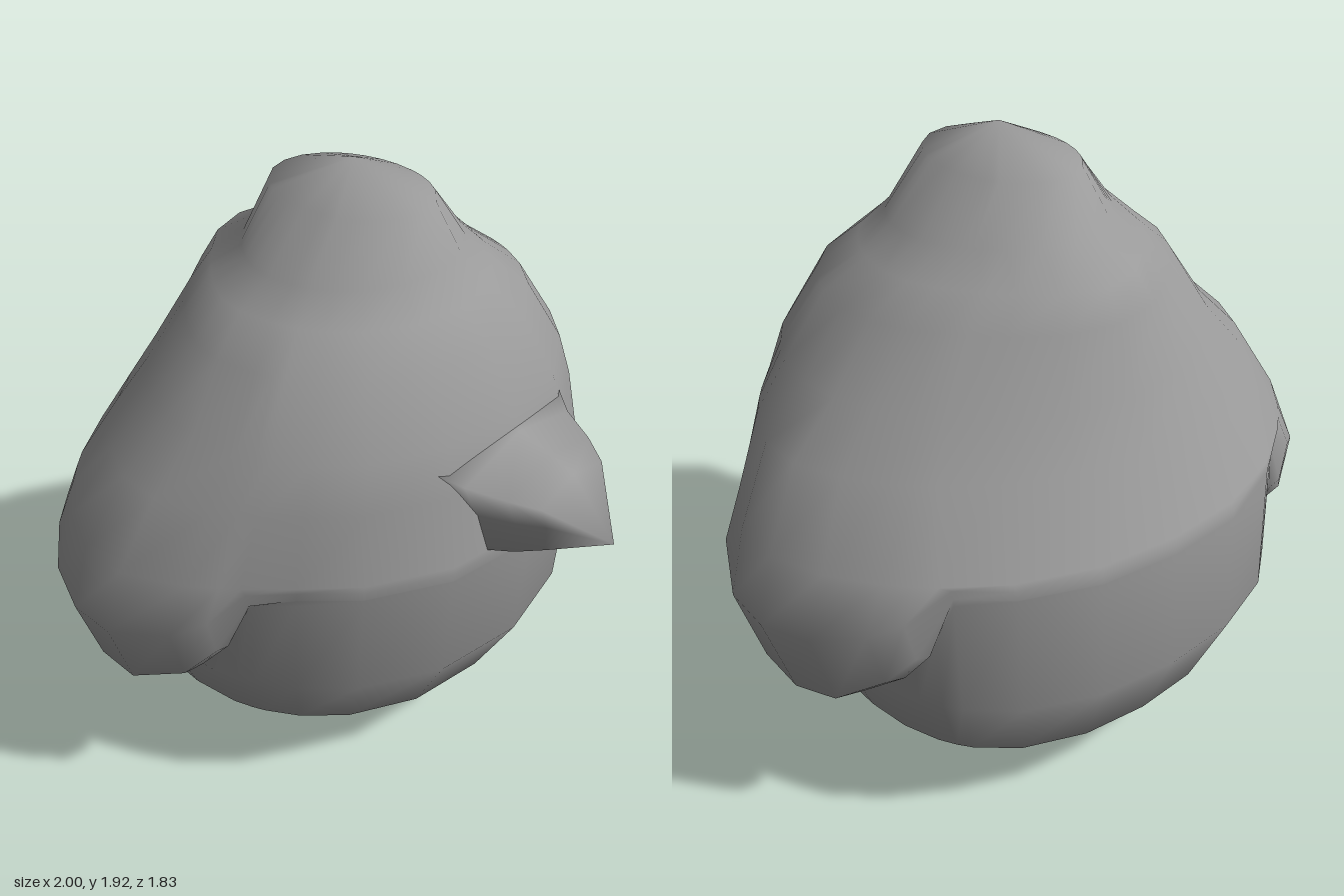
import * as THREE from 'three';

const material = new THREE.MeshStandardMaterial({ color: 0x9a9a9a });
const { lerp, degToRad } = THREE.MathUtils;

// Smooth skin over rings of equal point count, closed by a point at each end
function loft(name, start, rings, end) {
  const n = rings[0].length, index = [];
  const points = [start, ...rings.flat(), end];
  const last = points.length - 1, top = 1 + (rings.length - 1) * n;
  for (let i = 0; i < n; i++) {
    const j = (i + 1) % n;
    index.push(0, 1 + i, 1 + j, top + i, last, top + j);
    for (let r = 0; r < rings.length - 1; r++) {
      const a = 1 + r * n + i, b = 1 + r * n + j;
      index.push(a, a + n, b, b, a + n, b + n);
    }
  }
  const geometry = new THREE.BufferGeometry();
  geometry.setAttribute('position', new THREE.Float32BufferAttribute(points.flat(), 3));
  geometry.setIndex(index);
  geometry.computeVertexNormals();
  const mesh = new THREE.Mesh(geometry, material);
  mesh.name = name;
  return mesh;
}

// Plump torso: [y, half width, back z, front z, fullness of the rear corners]
const torso = [
  [0.08, 0.43, -0.62, 0.22, 0.04],
  [0.26, 0.67, -0.81, 0.47, 0.06],
  [0.52, 0.78, -0.915, 0.61, 0.06],
  [0.93, 0.79, -0.885, 0.64, 0.06],
  [1.27, 0.7, -0.69, 0.57, 0],
  [1.5, 0.55, -0.6, 0.45, -0.08],
  [1.59, 0.43, -0.555, 0.35, -0.1],
  [1.67, 0.34, -0.41, 0.26, -0.05],
  [1.83, 0.2, -0.34, 0.2, 0],
];

// Point on the torso at a height and bearing, pushed sideways by extra
function torsoPoint(y, { angle, side }, extra) {
  const i = Math.max(1, torso.findIndex((row) => row[0] >= y));
  const low = torso[i - 1], high = torso[i];
  const t = (y - low[0]) / (high[0] - low[0]);
  const [, w, back, front, k] = low.map((v, c) => lerp(v, high[c], t));
  const s = Math.sin(angle), c = Math.cos(angle);
  const full = s < 0 ? 1 + k * Math.sin(2 * angle) ** 2 : 1;
  const x = w * c * full + extra;
  return [side * x, y, (front + back) / 2 + ((front - back) / 2) * s * full];
}

// Bearings from back to front, closer together along the wing
const bearings = [-72, -55, -43, -39, -34, -24, -12, 0, 14, 20, 24, 34, 48, 68];

function column(degrees, side) {
  const angle = degToRad(degrees);
  const u = (-0.135 + 0.77 * Math.sin(angle) + 0.24) / 0.42;
  return {
    angle, side,
    lobe: Math.sqrt(Math.max(0, 1 - u * u)),
    shoulder: Math.abs(u) < 1.5 ? (1 + Math.cos((Math.PI * u) / 1.5)) / 2 : 0,
  };
}

// Torso with shoulders that flow into wing lobes and fold under at their rims
function makeBody() {
  const columns = [
    column(-90, 1), ...bearings.map((d) => column(d, 1)),
    column(90, 1), ...[...bearings].reverse().map((d) => column(d, -1)),
  ];
  const ring = (height, extra) => columns.map((c) => torsoPoint(height(c), c, extra(c)));
  const rim = (c) => 0.9 - 0.44 * c.lobe;
  const plain = (y) => ring(() => y, () => 0);
  const wing = (f, bulge) => ring((c) => lerp(0.95, rim(c), f), (c) => bulge * c.lobe);
  const shoulder = (y, bulge) => ring(() => y, (c) => bulge * c.shoulder);
  const rings = [
    plain(0.08), plain(0.26), plain(0.52),
    ring((c) => lerp(0.88, 0.58, c.lobe), () => 0),
    wing(1, 0.06), wing(0.95, 0.16), wing(0.42, 0.22),
    shoulder(0.95, 0.165), shoulder(1.17, 0.1),
    ...[1.31, 1.5, 1.59, 1.67, 1.83].map(plain),
  ];
  return loft('bodyAndWings', [0, 0, -0.2], rings, [0, 1.92, -0.06]);
}

// Beak with broad upper and narrower lower corners: [z, half width, bottom y, top y]
function makeBeak() {
  const section = [[1, 0.68], [0.76, 0], [0.72, -0.68], [0, -1], [-0.72, -0.68], [-0.76, 0], [-1, 0.68], [0, 1]];
  const profile = [
    [0.43, 0.34, 0.8, 1.37],
    [0.57, 0.25, 0.88, 1.27],
    [0.68, 0.2, 0.92, 1.24],
    [0.76, 0.15, 0.96, 1.21],
  ];
  const rings = profile.map(([z, w, y0, y1]) =>
    section.map(([u, v]) => [u * w, (y0 + y1) / 2 + (v * (y1 - y0)) / 2, z]));
  return loft('beak', [0, 1.05, 0.4], rings, [0, 1.04, 0.915]);
}

export function createModel() {
  const group = new THREE.Group();
  group.name = 'chubbyBird';
  group.add(makeBody(), makeBeak());
  return group;
}
